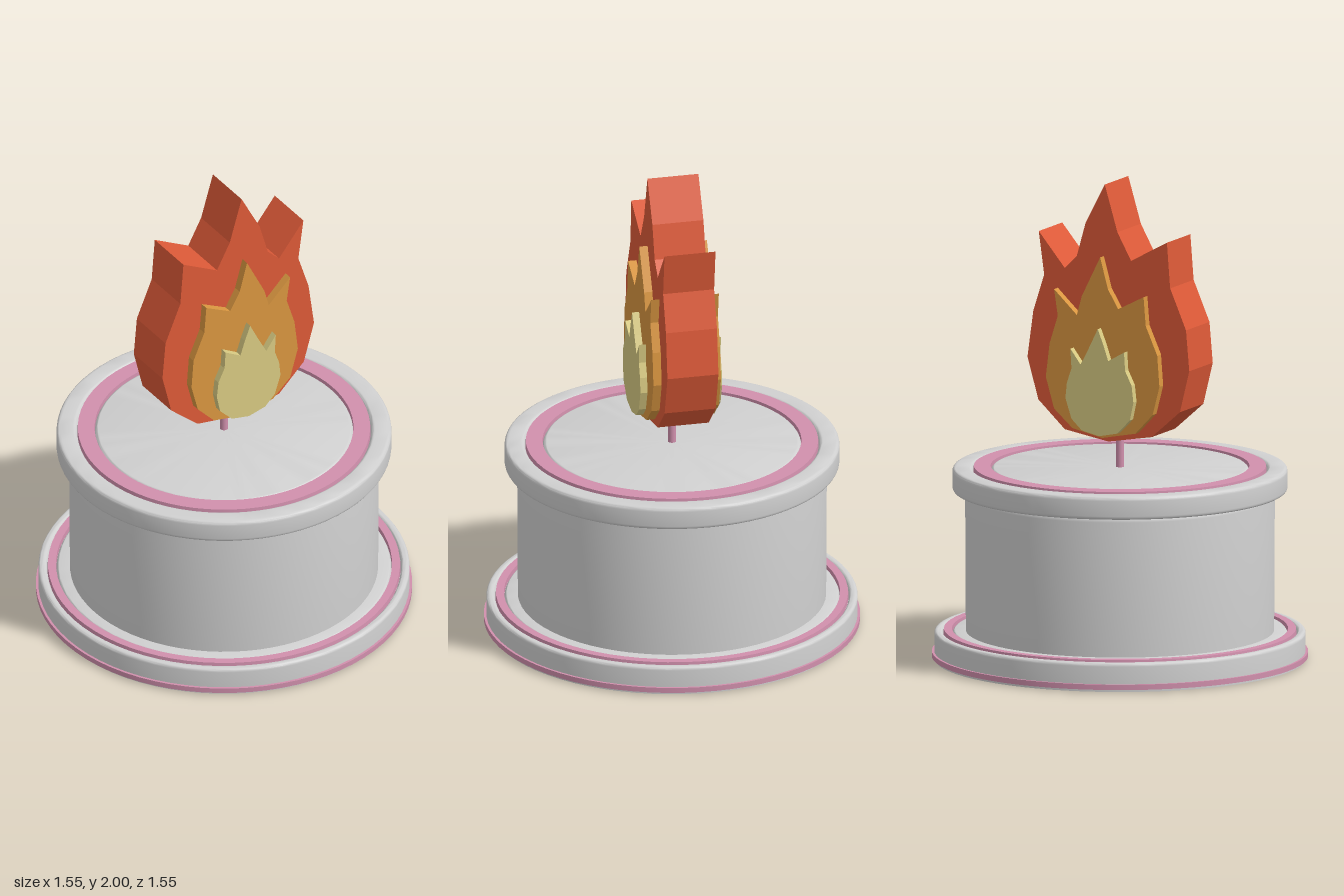
import * as THREE from 'three';
import { toCreasedNormals } from 'three/addons/utils/BufferGeometryUtils.js';

const mat = (name, color) => {
  const m = new THREE.MeshStandardMaterial({ color });
  m.name = name;
  return m;
};

// Flame outlines, clockwise from the tip
const OUTER = [[0.016, 2], [0.105, 1.83], [0.145, 1.69], [0.2, 1.635], [0.32, 1.78], [0.295, 1.6], [0.345, 1.445],
  [0.372, 1.25], [0.322, 1.075], [0.2, 0.96], [0, 0.925], [-0.2, 0.96], [-0.33, 1.075], [-0.373, 1.25],
  [-0.358, 1.42], [-0.285, 1.59], [-0.27, 1.78], [-0.105, 1.69], [-0.042, 1.805]];
const MIDDLE = [[0.02, 1.7], [0.105, 1.53], [0.127, 1.45], [0.232, 1.55], [0.215, 1.44], [0.253, 1.32],
  [0.27, 1.18], [0.232, 1.05], [0.148, 0.975], [0.01, 0.945], [-0.142, 0.975], [-0.222, 1.06], [-0.253, 1.18],
  [-0.243, 1.31], [-0.19, 1.43], [-0.18, 1.55], [-0.063, 1.49], [-0.016, 1.57]];
const INNER = [[0.016, 1.405], [0.058, 1.32], [0.095, 1.25], [0.142, 1.313], [0.137, 1.23], [0.158, 1.17],
  [0.165, 1.105], [0.137, 1.02], [0.09, 0.975], [0.01, 0.957], [-0.074, 0.975], [-0.132, 1.035], [-0.148, 1.11],
  [-0.14, 1.18], [-0.11, 1.24], [-0.105, 1.317], [-0.032, 1.275], [-0.01, 1.34]];

export function createModel() {
  const group = new THREE.Group();
  const grey = mat('candle grey', 0xd0d0d0);
  const pink = mat('trim pink', 0xd190ad);
  const red = mat('flame red', 0xdd5a38);
  const orange = mat('flame orange', 0xd99640);
  const yellow = mat('flame yellow', 0xd8ca82);

  const add = (name, geometry, material) => {
    const mesh = new THREE.Mesh(geometry, material);
    mesh.name = name;
    group.add(mesh);
  };

  // Turned part; a third value on a point rounds that corner by that radius
  const turn = (name, profile, material) => {
    const pts = [];
    profile.forEach(([x, y, r], i) => {
      const p = new THREE.Vector2(x, y);
      if (!r) return pts.push(p);
      const toward = ([a, b]) => new THREE.Vector2(a, b).sub(p).setLength(r).add(p);
      const curve = new THREE.QuadraticBezierCurve(toward(profile[i - 1]), p, toward(profile[i + 1]));
      pts.push(...curve.getPoints(4));
    });
    add(name, toCreasedNormals(new THREE.LatheGeometry(pts, 72), 0.6), material);
  };

  // Base plate with a shallow groove for its trim ring
  turn('basePlate', [[0, 0], [0.765, 0], [0.765, 0.12, 0.015], [0.735, 0.12, 0.008], [0.728, 0.105],
    [0.69, 0.105], [0.683, 0.12, 0.008], [0.6, 0.12]], grey);
  turn('baseBand', [[0.76, 0.01], [0.775, 0.01], [0.775, 0.032], [0.76, 0.032]], pink);
  turn('baseRing', [[0.728, 0.1], [0.725, 0.126], [0.692, 0.126], [0.69, 0.1]], pink);

  // Candle body
  turn('body', [[0.635, 0.11], [0.638, 0.705, 0.02], [0.6, 0.71]], grey);

  // Lid with a groove for its trim ring
  turn('lid', [[0.6, 0.705], [0.69, 0.705, 0.015], [0.69, 0.802, 0.018], [0.613, 0.802, 0.01], [0.604, 0.785],
    [0.533, 0.785], [0.524, 0.802, 0.01], [0, 0.802]], grey);
  turn('lidRing', [[0.605, 0.78], [0.602, 0.807], [0.533, 0.807], [0.531, 0.78]], pink);

  // Wick
  const wick = new THREE.CylinderGeometry(0.017, 0.017, 0.2, 16);
  wick.translate(0, 0.88, 0);
  add('wick', wick, pink);

  // Flame layers, each thicker than the one around it
  const flame = (name, outline, half, material) => {
    const shape = new THREE.Shape(outline.map(([x, y]) => new THREE.Vector2(x, y)));
    const geometry = new THREE.ExtrudeGeometry(shape, { depth: half * 2, bevelEnabled: false });
    geometry.translate(0, 0, -half);
    add(name, geometry, material);
  };
  flame('outerFlame', OUTER, 0.108, red);
  flame('middleFlame', MIDDLE, 0.143, orange);
  flame('innerFlame', INNER, 0.173, yellow);

  return group;
}
